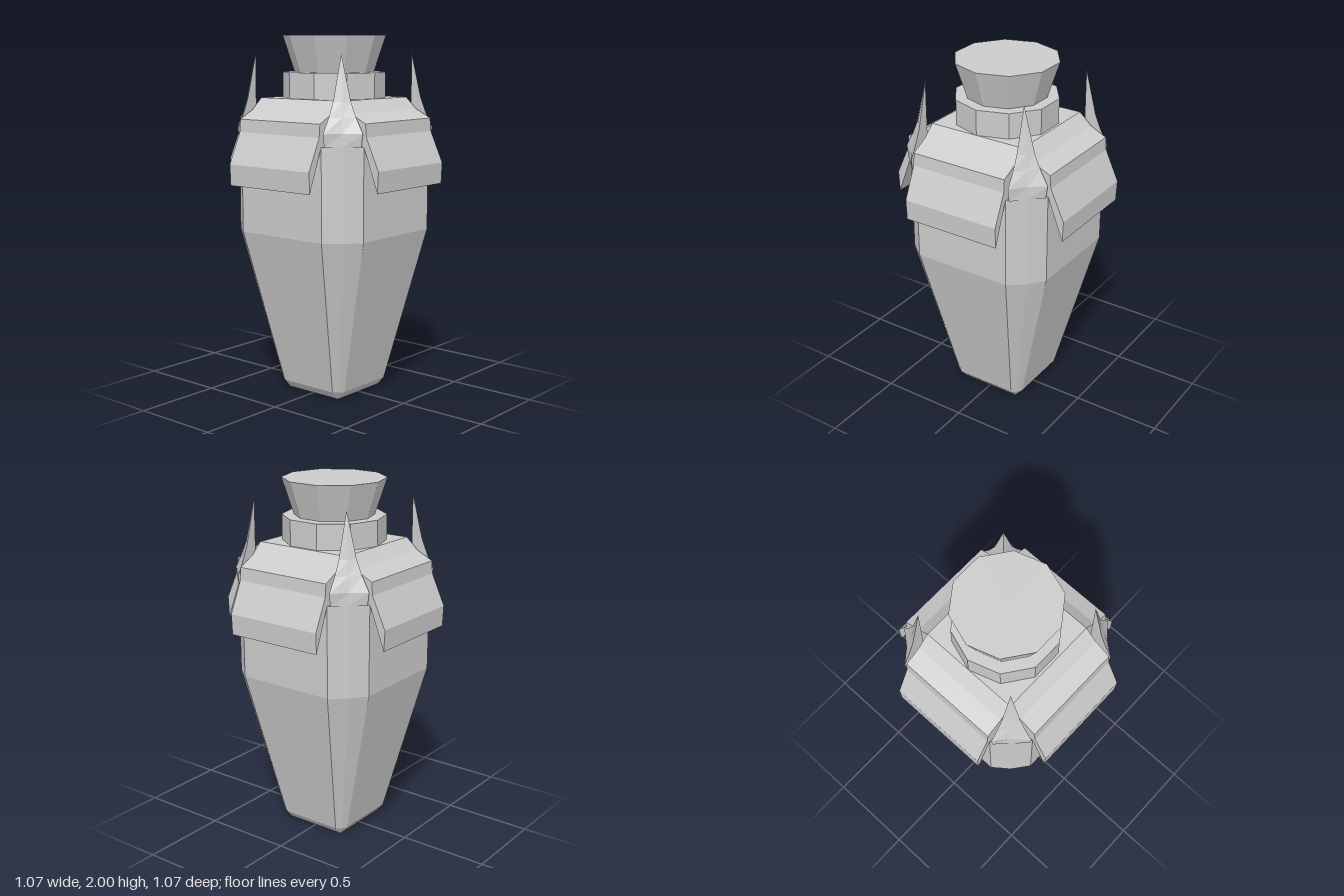
import * as THREE from 'three';

const material = new THREE.MeshStandardMaterial({ color: 0xcccccc, flatShading: true });

function addPart(parent, name, geometry, y = 0) {
  const mesh = new THREE.Mesh(geometry, material);
  mesh.name = name;
  mesh.position.y = y;
  parent.add(mesh);
  return mesh;
}

// Skin a stack of equal-sized rings of [x, y, z], ordered from +x towards +z, and cap both ends
function loft(rings) {
  const pos = [];
  const tri = (a, b, c) => pos.push(...a, ...b, ...c);
  const n = rings[0].length;
  for (let r = 0; r < rings.length - 1; r++) {
    for (let i = 0; i < n; i++) {
      const j = (i + 1) % n, lo = rings[r], hi = rings[r + 1];
      tri(lo[i], hi[i], lo[j]);
      tri(hi[i], hi[j], lo[j]);
    }
  }
  const bottom = rings[0], top = rings[rings.length - 1];
  for (let i = 1; i < n - 1; i++) {
    tri(bottom[0], bottom[i], bottom[i + 1]);
    tri(top[0], top[i + 1], top[i]);
  }
  const g = new THREE.BufferGeometry();
  g.setAttribute('position', new THREE.Float32BufferAttribute(pos, 3));
  g.computeVertexNormals();
  return g;
}

// Square ring whose corners are cut by two facets: h = half width, c = corner start, m = facet ridge
function chamferedRing([y, h, c, m]) {
  const ring = [];
  let corner = [[h, c], [m, m], [c, h]];
  for (let k = 0; k < 4; k++) {
    for (const [x, z] of corner) ring.push([x, y, z]);
    corner = corner.map(([x, z]) => [-z, x]);
  }
  return ring;
}

// Quarter section of a corner spike reaching out to o, with its ridge at m
const INNER = 0.305;
const spikeRing = ([y, o, m]) => [[INNER, y, INNER], [o, y, INNER], [m, y, m], [INNER, y, o]];

export function createModel() {
  const model = new THREE.Group();
  model.name = 'facetedUrn';

  // Tapering body with a small foot bevel
  addPart(model, 'body', loft([
    [0, 0.18, 0.18, 0.18],
    [0.05, 0.225, 0.178, 0.206],
    [0.93, 0.44, 0.285, 0.372],
    [1.43, 0.44, 0.285, 0.372],
  ].map(chamferedRing)));

  // Square core between the shoulder plates
  addPart(model, 'shoulderCore', new THREE.BoxGeometry(0.57, 0.23, 0.57), 1.545);

  // Ten-sided neck and flared stopper
  addPart(model, 'neck', new THREE.CylinderGeometry(0.285, 0.285, 0.14, 10), 1.73);
  addPart(model, 'stopper', new THREE.CylinderGeometry(0.285, 0.22, 0.2, 10), 1.9);

  // Overhanging shoulder plate profile, extruded across each side
  const profile = new THREE.Shape([
    [0.285, 1.43], [0.44, 1.43], [0.53, 1.195], [0.535, 1.31],
    [0.456, 1.48], [0.45, 1.55], [0.355, 1.597], [0.285, 1.66],
  ].map(([x, y]) => new THREE.Vector2(x, y)));
  const plate = new THREE.ExtrudeGeometry(profile, { depth: 0.57, bevelEnabled: false });
  plate.translate(0, 0, -0.285);

  // Concave spike standing on each chamfered corner
  const spike = loft([
    [1.43, 0.44, 0.372],
    [1.5, 0.45, 0.37],
    [1.58, 0.405, 0.355],
    [1.66, 0.37, 0.34],
    [1.9, 0.306, 0.3055],
  ].map(spikeRing));

  for (let k = 0; k < 4; k++) {
    const angle = k * Math.PI / 2;
    addPart(model, 'shoulderPlate', plate).rotation.y = angle;
    addPart(model, 'cornerSpike', spike).rotation.y = angle;
  }
  return model;
}
